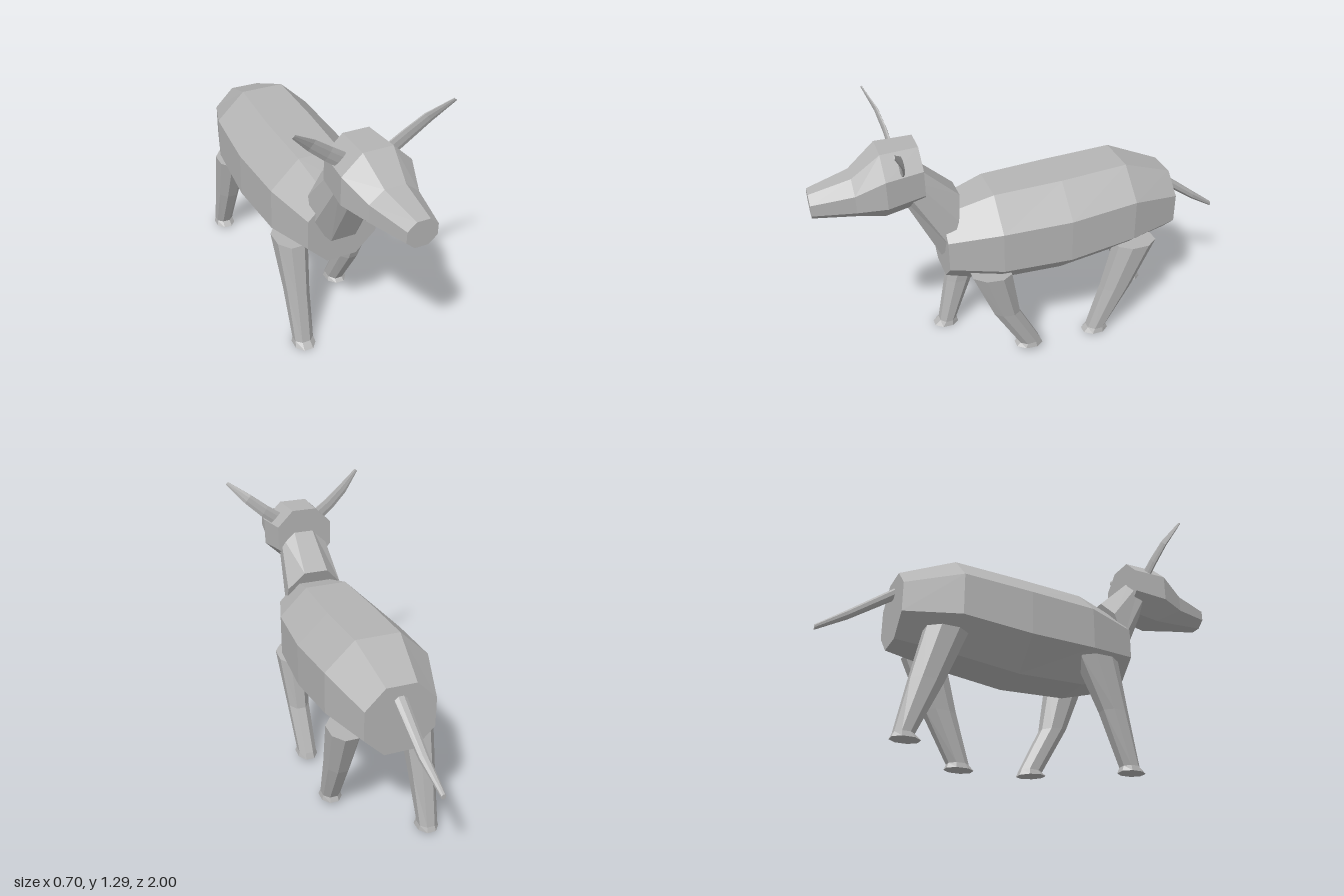
import * as THREE from 'three';

const hide = new THREE.MeshStandardMaterial({ color: 0xb4b4b4, flatShading: true });
hide.name = 'grey hide';

// Octagonal ring spanned by two opposite points a and b, and a half-width vector.
const OCT = [[0.43, 1], [1, 0.43], [1, -0.43], [0.43, -1], [-0.43, -1], [-1, -0.43], [-1, 0.43], [-0.43, 1]];
const ring = (a, b, side) => ({ a: new THREE.Vector3(...a), b: new THREE.Vector3(...b), side: new THREE.Vector3(...side) });
// Ring symmetrical about x = cx, with a and b given as [z, y]
const xRing = (a, b, cx, half) => ring([cx, a[1], a[0]], [cx, b[1], b[0]], [half, 0, 0]);

// Skin a closed, capped solid through a series of rings
function loft(name, rings) {
  const centers = rings.map(r => r.a.clone().add(r.b).multiplyScalar(0.5));
  const up0 = rings[0].a.clone().sub(rings[0].b);
  const along = centers[1].clone().sub(centers[0]);
  const sign = rings[0].side.clone().cross(up0).dot(along) > 0 ? 1 : -1;
  const loops = rings.map((r, i) => {
    const up = r.a.clone().sub(r.b).multiplyScalar(0.5);
    return OCT.map(([u, v]) => centers[i].clone().addScaledVector(r.side, u * sign).addScaledVector(up, v));
  });
  const pos = [];
  const tri = (...pts) => pts.forEach(p => pos.push(p.x, p.y, p.z));
  const last = loops.length - 1;
  for (let k = 0; k < 8; k++) {
    const n = (k + 1) % 8;
    for (let i = 0; i < last; i++) {
      const [p, q] = [loops[i], loops[i + 1]];
      tri(p[k], q[n], p[n]);
      tri(p[k], q[k], q[n]);
    }
    tri(centers[0], loops[0][k], loops[0][n]);
    tri(centers[last], loops[last][n], loops[last][k]);
  }
  const geo = new THREE.BufferGeometry();
  geo.setAttribute('position', new THREE.Float32BufferAttribute(pos, 3));
  geo.computeVertexNormals();
  const mesh = new THREE.Mesh(geo, hide);
  mesh.name = name;
  return mesh;
}

export function createModel() {
  const model = new THREE.Group();
  model.name = 'hornedAnimal';

  // Barrel body: z, top, bottom, half width
  model.add(loft('body', [
    [0.455, 0.805, 0.475, 0.165],
    [0.22, 0.875, 0.415, 0.233],
    [-0.1, 0.888, 0.408, 0.252],
    [-0.42, 0.905, 0.45, 0.238],
    [-0.67, 0.805, 0.485, 0.16],
  ].map(([z, t, b, w]) => xRing([z, t], [z, b], -0.007, w))));

  // Neck rising from the chest into the head
  model.add(loft('neck', [
    xRing([0.365, 0.885], [0.465, 0.585], -0.007, 0.137),
    xRing([0.55, 1.06], [0.635, 0.95], 0, 0.108),
  ]));

  // Head, turned very slightly: z, top, bottom, centre x, half width
  model.add(loft('head', [
    [0.53, 1.155, 0.885, -0.005, 0.137],
    [0.695, 1.155, 0.86, 0.002, 0.154],
    [0.82, 1.06, 0.878, 0.008, 0.108],
    [1, 1.02, 0.905, 0.022, 0.066],
  ].map(([z, t, b, x, w]) => xRing([z, t], [z, b], x, w))));

  // Flat curved horns, mirrored
  for (const s of [1, -1]) {
    model.add(loft(s > 0 ? 'leftHorn' : 'rightHorn', [
      [0.06, 1.1, 0.1, 1.045, 0.617, 0.008],
      [0.155, 1.165, 0.19, 1.115, 0.624, 0.008],
      [0.235, 1.225, 0.268, 1.187, 0.64, 0.007],
      [0.335, 1.29, 0.348, 1.279, 0.68, 0.003],
    ].map(([ax, ay, bx, by, z, w]) => ring([s * ax, ay, z], [s * bx, by, z], [0, 0, w]))));
  }

  // Drooping tail
  model.add(loft('tail', [
    xRing([-0.64, 0.78], [-0.64, 0.725], -0.003, 0.03),
    xRing([-0.87, 0.6], [-0.86, 0.565], -0.02, 0.021),
    xRing([-1, 0.497], [-1, 0.474], -0.044, 0.01),
  ]));

  // Legs in mid stride: front [z, y], back [z, y], centre x, half width for each ring
  const legs = {
    frontLeftLeg: [
      [[0.36, 0.52], [0.175, 0.5], 0.165, 0.068],
      [[0.262, 0.275], [0.135, 0.26], 0.16, 0.05],
      [[0.132, 0.05], [0.03, 0.055], 0.157, 0.043],
      [[0.15, 0.035], [0.018, 0.025], 0.157, 0.049],
    ],
    frontRightLeg: [
      [[0.36, 0.515], [0.165, 0.515], -0.174, 0.073],
      [[0.405, 0.27], [0.277, 0.27], -0.176, 0.054],
      [[0.452, 0.025], [0.37, 0.025], -0.175, 0.045],
      [[0.48, 0], [0.36, 0], -0.175, 0.05],
    ],
    backLeftLeg: [
      [[-0.365, 0.515], [-0.56, 0.515], 0.16, 0.07],
      [[-0.3, 0.27], [-0.45, 0.27], 0.16, 0.054],
      [[-0.23, 0.04], [-0.325, 0.04], 0.157, 0.043],
      [[-0.208, 0.016], [-0.335, 0.016], 0.157, 0.049],
    ],
    backRightLeg: [
      [[-0.38, 0.515], [-0.565, 0.515], -0.17, 0.07],
      [[-0.478, 0.27], [-0.622, 0.27], -0.175, 0.054],
      [[-0.588, 0.035], [-0.672, 0.035], -0.178, 0.043],
      [[-0.562, 0.012], [-0.682, 0.012], -0.178, 0.049],
    ],
  };
  for (const [name, rings] of Object.entries(legs)) {
    model.add(loft(name, rings.map(r => xRing(...r))));
  }
  return model;
}
